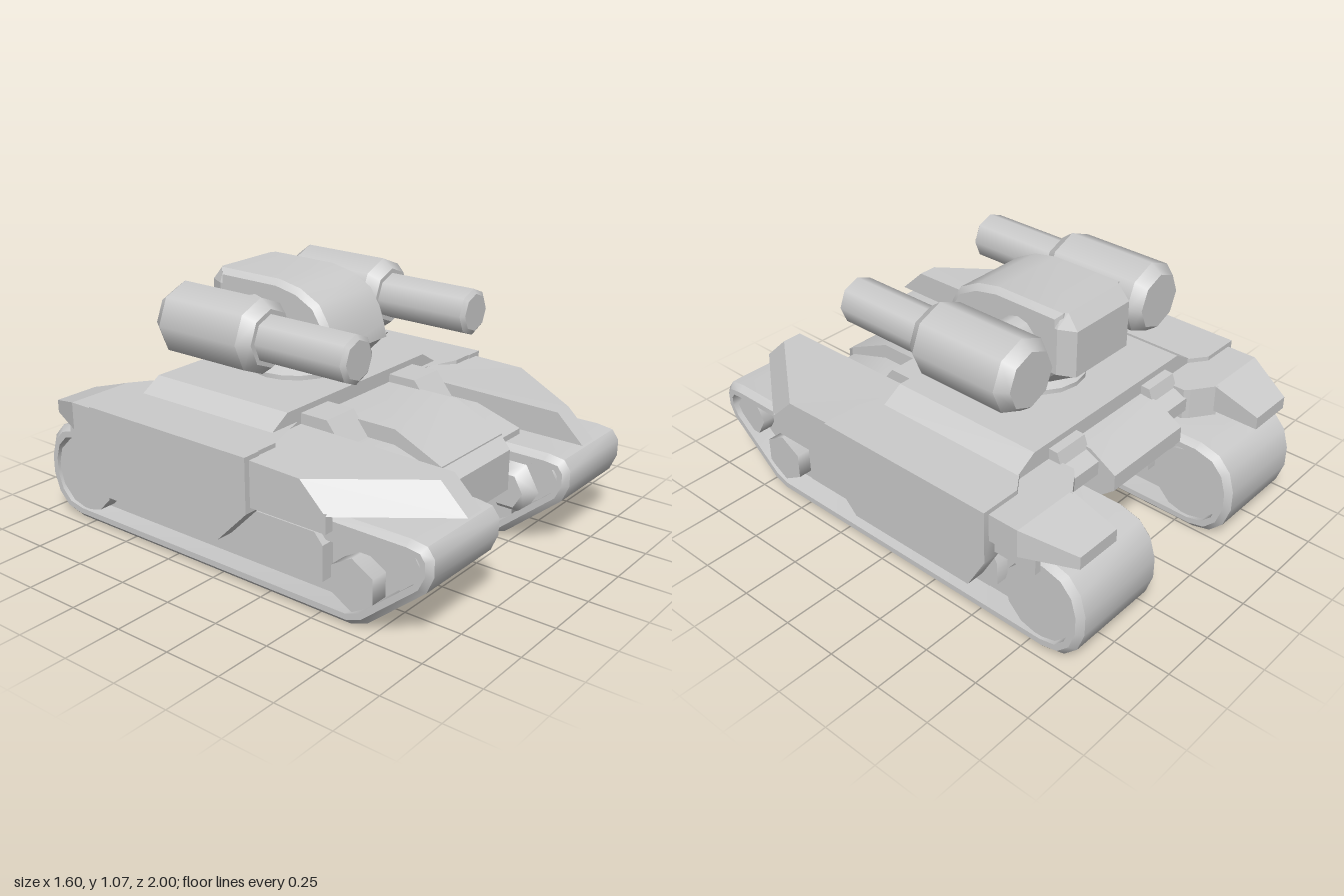
import * as THREE from 'three';
import { toCreasedNormals } from 'three/addons/utils/BufferGeometryUtils.js';

const material = new THREE.MeshStandardMaterial({ color: 0xcccccc });

function add(parent, name, geometry) {
  const mesh = new THREE.Mesh(geometry, material);
  mesh.name = name;
  parent.add(mesh);
}

function box(x0, x1, y0, y1, z0, z1) {
  return new THREE.BoxGeometry(x1 - x0, y1 - y0, z1 - z0)
    .translate((x0 + x1) / 2, (y0 + y1) / 2, (z0 + z1) / 2);
}

// Side profile of [z, y] points, extruded from x0 to x1
function slab(points, x0, x1, bevel = 0) {
  const shape = new THREE.Shape(points.map(([z, y]) => new THREE.Vector2(z, y)));
  const depth = x1 - x0 - 2 * bevel;
  const geometry = new THREE.ExtrudeGeometry(shape, {
    depth, bevelEnabled: bevel > 0, bevelSize: bevel, bevelThickness: bevel,
    bevelOffset: -bevel, bevelSegments: 1,
  });
  geometry.translate(0, 0, -depth / 2).rotateY(-Math.PI / 2).translate((x0 + x1) / 2, 0, 0);
  return toCreasedNormals(geometry, 0.7);
}

function indexedGeometry(points, index) {
  const geometry = new THREE.BufferGeometry();
  geometry.setAttribute('position', new THREE.Float32BufferAttribute(points.flat(), 3));
  geometry.setIndex(index);
  return geometry;
}

// Closed belt: a cross-section of [x, depth] swept round two matching [z, y] loops
function belt(outer, inner, section) {
  const n = outer.length, m = section.length;
  const points = [], index = [];
  for (let i = 0; i < n; i++) {
    for (let j = 0; j < m; j++) {
      const [x, t] = section[j];
      const mix = (k) => THREE.MathUtils.lerp(outer[i][k], inner[i][k], t);
      points.push([x, mix(1), mix(0)]);
      const a = i * m + j, b = i * m + (j + 1) % m;
      const c = ((i + 1) % n) * m + (j + 1) % m, d = ((i + 1) % n) * m + j;
      index.push(a, b, c, a, c, d);
    }
  }
  return toCreasedNormals(indexedGeometry(points, index), 0.7);
}

// Faceted solid between two convex outlines of [x, y, z] points
function loft(lower, upper) {
  const n = lower.length;
  const area = lower.reduce((sum, p, i) => {
    const q = lower[(i + 1) % n];
    return sum + p[2] * q[0] - p[0] * q[2];
  }, 0);
  if (area < 0) { lower = [...lower].reverse(); upper = [...upper].reverse(); }
  const index = [];
  for (let i = 0; i < n; i++) {
    const j = (i + 1) % n;
    index.push(i, j, n + j, i, n + j, n + i);
    if (i > 0 && i < n - 1) index.push(0, i + 1, i, n, n + i, n + i + 1);
  }
  const geometry = indexedGeometry([...lower, ...upper], index).toNonIndexed();
  geometry.computeVertexNormals();
  return geometry;
}

const atHeight = (y, outline) => outline.map(([x, z]) => [x, y, z]);
const rect = (w, y, back, front) => atHeight(y, [[-w, front], [w, front], [w, back], [-w, back]]);

// Wheel lying along x, with radius r0 at x0 and r1 at x1
function wheel(r0, r1, sides, x0, x1, y, z, turn = 0) {
  return new THREE.CylinderGeometry(r0, r1, x1 - x0, sides)
    .rotateY(turn).rotateZ(Math.PI / 2).translate((x0 + x1) / 2, y, z);
}

// Gun section along z, from z0 (radius r0) to z1 (radius r1)
function barrel(r0, r1, z0, z1) {
  return new THREE.CylinderGeometry(r1, r0, z1 - z0, 8)
    .rotateX(Math.PI / 2).translate(0.4, 0.905, (z0 + z1) / 2);
}

// Everything on the model's left side
function buildSide() {
  const side = new THREE.Group();

  // Track belt, wheels and the frame inside
  const outer = [[0.64, 0], [0.72, 0.03], [0.97, 0.24], [1, 0.31], [1, 0.38], [0.97, 0.42], [0.9, 0.43],
    [-0.83, 0.43], [-0.92, 0.405], [-0.975, 0.345], [-1, 0.26], [-1, 0.17], [-0.97, 0.08], [-0.91, 0.02], [-0.83, 0]];
  const inner = [[0.63, 0.05], [0.69, 0.07], [0.93, 0.27], [0.955, 0.315], [0.955, 0.355], [0.94, 0.375], [0.89, 0.38],
    [-0.81, 0.38], [-0.885, 0.36], [-0.93, 0.315], [-0.95, 0.25], [-0.95, 0.18], [-0.925, 0.11], [-0.88, 0.065], [-0.81, 0.05]];
  add(side, 'track', belt(outer, inner,
    [[0.27, 0], [0.69, 0], [0.715, 0.5], [0.715, 1], [0.245, 1], [0.245, 0.5]]));
  add(side, 'trackWeb', slab(inner, 0.34, 0.62));
  add(side, 'trackFrame', slab([[0.5, 0.12], [0.5, 0.27], [0.46, 0.315], [-0.53, 0.315],
    [-0.57, 0.25], [-0.57, 0.15], [-0.53, 0.12]], 0.29, 0.68));
  add(side, 'trackBeam', slab([[0.46, 0.28], [0.72, 0.28], [0.8, 0.325], [0.8, 0.38], [0.46, 0.38]], 0.31, 0.65));
  add(side, 'rearWheel', wheel(0.165, 0.165, 12, 0.26, 0.7, 0.21, -0.79));
  add(side, 'frontWheel', wheel(0.09, 0.09, 6, 0.27, 0.69, 0.29, 0.87));
  add(side, 'lowerWheel', wheel(0.11, 0.11, 6, 0.27, 0.7, 0.165, 0.65, Math.PI / 2));
  add(side, 'wheelHub', wheel(0.08, 0.125, 6, 0.215, 0.27, 0.245, 0.74));

  // Side armour
  add(side, 'sideSkirt', slab([[0.23, 0.59], [-0.615, 0.59], [-0.615, 0.36], [-0.53, 0.21],
    [0.08, 0.21], [0.23, 0.36]], 0.72, 0.8));
  const sideDeck = [[0.4, 0.15], [0.545, 0.15], [0.62, 0.225], [0.75, 0.225],
    [0.75, -0.615], [0.62, -0.615], [0.545, -0.56], [0.4, -0.56]];
  add(side, 'sideDeck', loft(atHeight(0.4, sideDeck), atHeight(0.59, sideDeck)));

  // Front fender with sloped leading edge
  add(side, 'frontFender', loft(
    atHeight(0.45, [[0.38, 0.1], [0.38, 0.99], [0.47, 0.99], [0.775, 0.59], [0.775, 0.1]]),
    [[0.38, 0.575, 0.1], [0.38, 0.565, 0.87], [0.47, 0.565, 0.87], [0.775, 0.565, 0.47], [0.775, 0.575, 0.1]]));
  add(side, 'frontFenderSide', box(0.735, 0.775, 0.38, 0.46, 0.1, 0.59));

  // Rear fender sloping down to the back
  const rear = [[0.47, -0.75], [0.47, -0.5], [0.775, -0.5], [0.775, -0.75], [0.68, -0.96], [0.47, -0.96]];
  add(side, 'rearFender', loft(atHeight(0.45, rear),
    rear.map(([x, z]) => [x, z < -0.9 ? 0.505 : 0.57, z])));
  const root = [[0.36, -0.5], [0.36, -0.67], [0.38, -0.69], [0.48, -0.76], [0.48, -0.5]];
  add(side, 'rearFenderRoot', loft(atHeight(0.43, root), atHeight(0.57, root)));
  add(side, 'rearFenderSide', box(0.715, 0.745, 0.38, 0.46, -0.81, -0.55));

  // Stepped blocks beside the nose and at the rear
  add(side, 'frontBlock', slab([[0.1, 0.43], [0.7, 0.43], [0.7, 0.455], [0.49, 0.52], [0.36, 0.52],
    [0.28, 0.62], [0.1, 0.62]], 0.21, 0.38));
  add(side, 'rearBlock', slab([[-0.5, 0.45], [-0.66, 0.45], [-0.68, 0.47], [-0.68, 0.53],
    [-0.62, 0.56], [-0.6, 0.615], [-0.5, 0.62]], 0.21, 0.375));

  // Gun
  add(side, 'gunRear', barrel(0.12, 0.157, -0.49, -0.44));
  add(side, 'gunBody', barrel(0.157, 0.157, -0.44, -0.03));
  add(side, 'gunCollar', barrel(0.157, 0.12, -0.03, 0.02));
  add(side, 'gunBarrel', barrel(0.1, 0.1, 0, 0.435));
  add(side, 'gunMuzzle', barrel(0.1, 0.08, 0.435, 0.45));
  add(side, 'gunAxle', wheel(0.092, 0.092, 12, 0.15, 0.3, 0.902, -0.245));
  return side;
}

export function createModel() {
  const model = new THREE.Group();
  model.name = 'tank';

  const left = buildSide();
  left.name = 'leftSide';
  const right = buildSide();
  right.name = 'rightSide';
  right.scale.x = -1;
  model.add(left, right);

  // Hull and deck
  add(model, 'hull', box(-0.55, 0.55, 0.42, 0.59, -0.56, 0.15));
  add(model, 'lowerHull', slab([[0.55, 0.23], [0.55, 0.5], [-0.6, 0.5], [-0.6, 0.4], [-0.45, 0.23]], -0.22, 0.22));
  add(model, 'deck', loft(rect(0.56, 0.585, -0.56, 0.15), rect(0.46, 0.645, -0.56, 0.15)));

  // Nose: flat then sloping top plate, ending in a chamfered front
  add(model, 'nose', slab([[0.1, 0.23], [0.71, 0.23], [0.71, 0.485], [0.49, 0.585], [0.1, 0.585]], -0.22, 0.22));
  const noseFront = loft(rect(0.22, 0.7, -0.485, -0.23), rect(0.185, 0.77, -0.44, -0.265));
  add(model, 'noseFront', noseFront.rotateX(Math.PI / 2));
  add(model, 'tailBlock', slab([[-0.5, 0.38], [-0.7, 0.38], [-0.76, 0.43], [-0.76, 0.5],
    [-0.64, 0.57], [-0.5, 0.585]], -0.22, 0.22));

  // Turret ring
  const ring = new THREE.LatheGeometry([[0, 0.63], [0.2, 0.63], [0.2, 0.665], [0.13, 0.69], [0.115, 0.695],
    [0.115, 0.73], [0, 0.73]].map(([r, y]) => new THREE.Vector2(r, y)), 16);
  add(model, 'turretRing', toCreasedNormals(ring, 0.5).translate(0, 0, -0.19));

  // Turret head: rounded shell, tapered back and tapered base
  add(model, 'turretShell', slab([[0.16, 0.8], [0.145, 0.86], [0.12, 0.93], [0.075, 1.0], [-0.02, 1.05],
    [-0.13, 1.072], [-0.45, 1.072], [-0.45, 0.8]], -0.195, 0.195, 0.024));
  const back = (y, w0, w1, z) => atHeight(y, [[-w0, -0.4], [w0, -0.4], [w0, -0.44], [w1, z], [-w1, z], [-w0, -0.44]]);
  add(model, 'turretBack', loft(back(0.81, 0.195, 0.16, -0.51), back(1.01, 0.195, 0.16, -0.51)));
  add(model, 'turretBackTop', loft(back(1.01, 0.195, 0.16, -0.51), back(1.072, 0.17, 0.155, -0.46)));
  add(model, 'turretBase', loft(
    atHeight(0.715, [[-0.15, 0.07], [0.15, 0.07], [0.15, -0.33], [0.13, -0.36], [-0.13, -0.36], [-0.15, -0.33]]),
    atHeight(0.815, [[-0.195, 0.155], [0.195, 0.155], [0.195, -0.44], [0.16, -0.51], [-0.16, -0.51], [-0.195, -0.44]])));
  return model;
}
